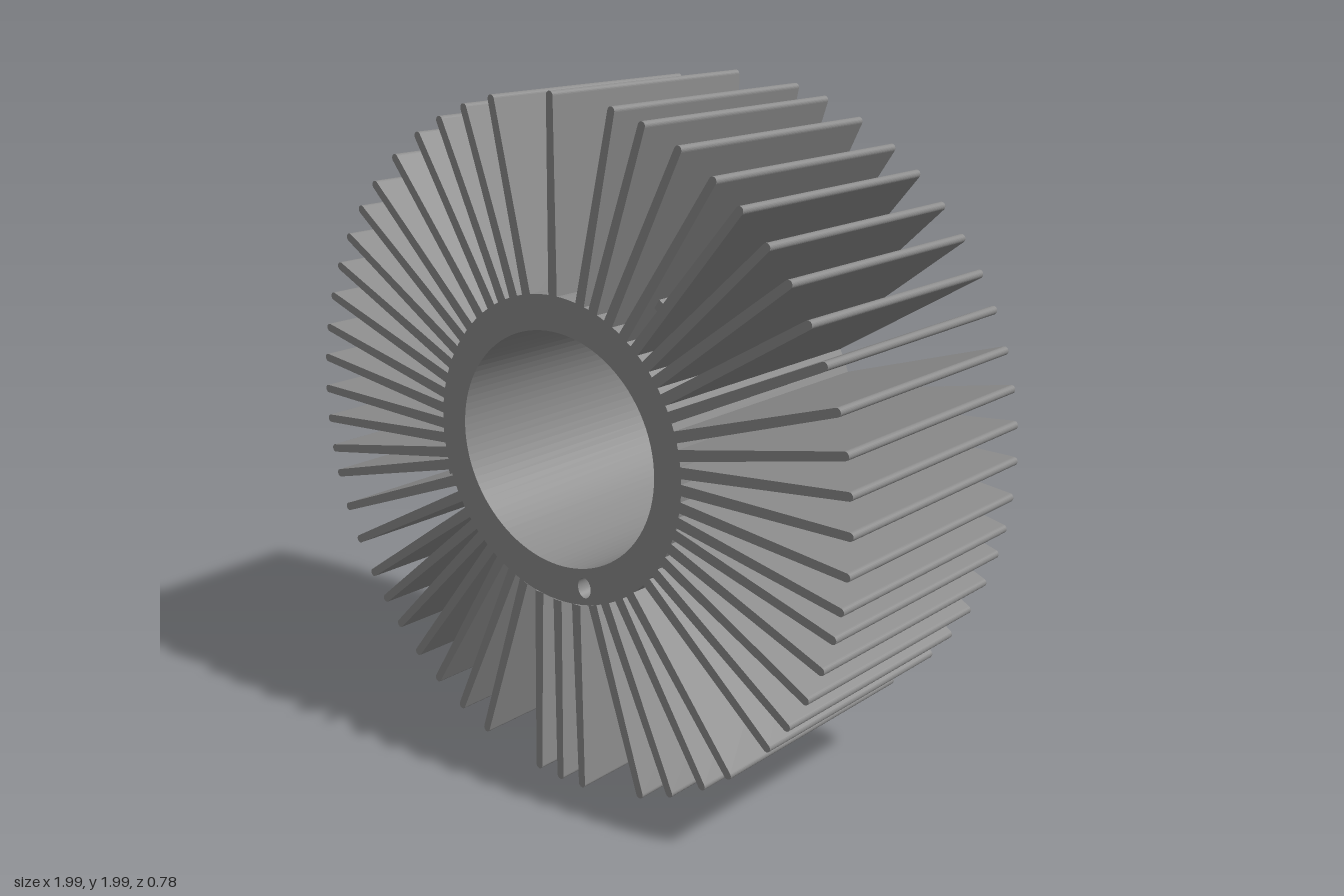
import * as THREE from 'three';

const DEPTH = 0.78;
const CENTER_Y = 1.005;
const rad = THREE.MathUtils.degToRad;

// Fin directions in degrees, clockwise from the top
const FIN_ANGLES = [
  0, 12.7, 18.9, 26.4, 33.9, 40, 46.7, 52.8, 59.1, 65.2, 71.8, 78, 83.8,
  89.7, 95.9, 101.5, 106.3, 112.1, 118.2, 124.5, 130.4, 140.8, 147.2, 154.9, 161.7,
  175, 180, 185, 198.3, 205, 212, 218.3, 224.6, 230, 235.3, 242, 248.3, 254.7, 259.4,
  265, 270.6, 276.5, 282.3, 288.5, 294.7, 300.9, 307.3, 313.4, 320.8, 328, 334.2, 340.5, 347.1,
];
// The two fins beside the lowest one run parallel to it, so their roots differ
const ROOT_ANGLES = { 175: 170.3, 185: 189.7 };

// Small bridges between neighbouring fins: [from, to, radius, height, z, depth]
const WEBS = [
  [328, 334.2, 0.61, 0.03, 0.15, 0.4], [33.9, 40, 0.58, 0.03, 0.1, 0.5],
  [46.7, 52.8, 0.57, 0.03, 0.1, 0.3], [52.8, 59.1, 0.58, 0.02, -0.1, 0.3],
  [307.3, 313.4, 0.6, 0.02, 0.1, 0.3], [288.5, 294.7, 0.54, 0.02, 0.2, 0.2],
  [248.3, 254.7, 0.62, 0.02, 0.1, 0.3], [106.3, 112.1, 0.53, 0.03, 0, 0.3],
  [224.6, 230, 0.62, 0.02, 0.1, 0.4], [212, 218.3, 0.6, 0.03, 0, 0.3],
  [154.9, 161.7, 0.62, 0.02, 0.1, 0.4], [198.3, 205, 0.62, 0.02, 0.1, 0.4],
  [130.4, 140.8, 0.6, 0.02, 0, 0.3], [180, 185, 0.61, 0.015, 0, 0.6],
];

const polar = (degrees, r) => new THREE.Vector2(Math.sin(rad(degrees)) * r, Math.cos(rad(degrees)) * r);

function extrude(shape, depth, curveSegments) {
  const geometry = new THREE.ExtrudeGeometry(shape, { depth, curveSegments, bevelEnabled: false });
  return geometry.translate(0, 0, -depth / 2);
}

// Plate outline along +y, slightly tapered with a rounded tip
function finShape(length) {
  const tip = 0.012, root = 0.016;
  const shape = new THREE.Shape();
  shape.moveTo(root, 0);
  shape.lineTo(tip, length - tip);
  shape.absarc(0, length - tip, tip, 0, Math.PI, false);
  shape.lineTo(-root, 0);
  shape.closePath();
  return shape;
}

export function createModel() {
  const model = new THREE.Group();
  model.name = 'heatSink';
  const metal = new THREE.MeshStandardMaterial({ color: 0x8c8c8c });
  metal.name = 'grey metal';

  const body = new THREE.Group();
  body.name = 'finnedBody';
  body.position.y = CENTER_Y;
  model.add(body);
  const add = (name, geometry) => {
    const mesh = new THREE.Mesh(geometry, metal);
    mesh.name = name;
    body.add(mesh);
    return mesh;
  };

  // Core sleeve with its wide bore and one small drilled hole
  const core = new THREE.Shape();
  core.absellipse(0, 0.012, 0.455, 0.44, 0, Math.PI * 2, false, 0);
  const bore = new THREE.Path();
  bore.absellipse(0, 0.015, 0.362, 0.337, 0, Math.PI * 2, true, 0);
  const pinHole = new THREE.Path();
  pinHole.absellipse(0.105, -0.365, 0.024, 0.03, 0, Math.PI * 2, true, 0);
  core.holes.push(bore, pinHole);
  add('coreSleeve', extrude(core, DEPTH, 48));

  // Radial fins
  FIN_ANGLES.forEach((angle, i) => {
    const root = polar(ROOT_ANGLES[angle] ?? angle, 0.43);
    const run = polar(angle, 0.995).sub(root);
    const fin = add(`fin${i + 1}`, extrude(finShape(run.length()), DEPTH, 6));
    fin.position.set(root.x, root.y, 0);
    fin.rotation.z = -Math.atan2(run.x, run.y);
  });

  // Bridges between fins
  WEBS.forEach(([from, to, radius, height, z, depth], i) => {
    const middle = polar((from + to) / 2, radius);
    const width = 2 * radius * Math.sin(rad(to - from) / 2);
    const web = add(`finBridge${i + 1}`, new THREE.BoxGeometry(width, height, depth));
    web.position.set(middle.x, middle.y, z);
    web.rotation.z = -rad((from + to) / 2);
  });

  return model;
}
